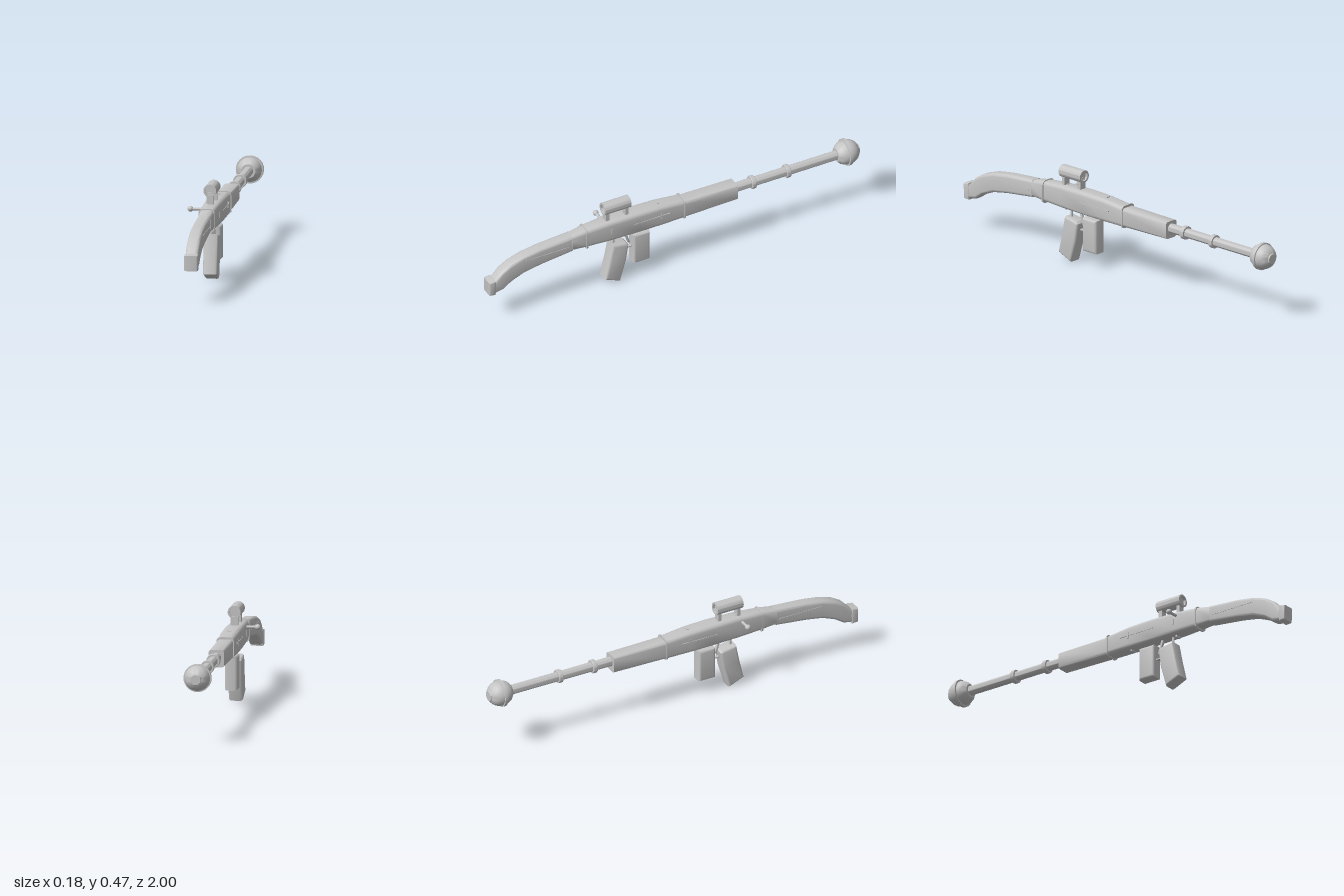
import * as THREE from 'three';
import { toCreasedNormals } from 'three/addons/utils/BufferGeometryUtils.js';

const CX = 0.02; // x of the long axis
const AXIS_Y = 0.313; // height of the barrel axis
const metal = new THREE.MeshStandardMaterial({ color: 0xc4c4c4 });
metal.name = 'light grey';

export function createModel() {
  const model = new THREE.Group();
  model.name = 'toyRifle';

  const add = (name, geometry, x = CX, y = 0, z = 0) => {
    const mesh = new THREE.Mesh(geometry, metal);
    mesh.name = name;
    mesh.position.set(x, y, z);
    model.add(mesh);
    return mesh;
  };

  // Rounded-rectangle cross-sections [z, top, bottom, halfWidth], front to back
  const loft = (sections, round = 0.016) => {
    const pos = [], idx = [], steps = 4, n = 4 * (steps + 1);
    for (const [z, top, bottom, w] of sections) {
      const cy = (top + bottom) / 2, h = (top - bottom) / 2;
      for (let k = 0; k < 4; k++) {
        const sx = k === 0 || k === 3 ? 1 : -1, sy = k < 2 ? 1 : -1;
        for (let s = 0; s <= steps; s++) {
          const a = (k + s / steps) * Math.PI / 2;
          pos.push(sx * (w - round) + round * Math.cos(a), cy + sy * (h - round) + round * Math.sin(a), z);
        }
      }
    }
    const last = (sections.length - 1) * n;
    for (let i = 0; i < last; i += n) {
      for (let j = 0; j < n; j++) {
        const k = (j + 1) % n;
        idx.push(i + j, i + n + j, i + k, i + k, i + n + j, i + n + k);
      }
    }
    for (let j = 1; j < n - 1; j++) idx.push(0, j, j + 1, last, last + j + 1, last + j);
    const g = new THREE.BufferGeometry();
    g.setAttribute('position', new THREE.Float32BufferAttribute(pos, 3));
    g.setIndex(idx);
    return toCreasedNormals(g, 0.6);
  };

  // Side outline of [z, y] points given width along x and softened edges
  const slab = (points, width, bevel) => {
    const shape = new THREE.Shape(points.map(([z, y]) => new THREE.Vector2(z, y)));
    const g = new THREE.ExtrudeGeometry(shape, {
      depth: width - 2 * bevel, bevelEnabled: true, bevelThickness: bevel,
      bevelSize: bevel, bevelOffset: -bevel, bevelSegments: 3,
    });
    g.translate(0, 0, bevel - width / 2).rotateY(-Math.PI / 2);
    return toCreasedNormals(g, 0.6);
  };

  // Turned part along z: [radius, z] points listed by rising z
  const turned = (points) => {
    const g = new THREE.LatheGeometry(points.map(([r, z]) => new THREE.Vector2(r, z)), 32);
    return toCreasedNormals(g.rotateX(Math.PI / 2), 0.6);
  };

  // Shoulder stock and butt pad
  add('stock', loft([
    [0.967, 0.232, 0.16, 0.03], [0.925, 0.275, 0.168, 0.031], [0.88, 0.302, 0.199, 0.031],
    [0.81, 0.325, 0.228, 0.031], [0.72, 0.339, 0.244, 0.031], [0.55, 0.352, 0.264, 0.031],
  ]));
  add('buttPad', slab([[0.998, 0.158], [1, 0.232], [0.967, 0.238], [0.962, 0.2], [0.966, 0.155]], 0.066, 0.007));

  // Receiver and fore-end
  add('receiver', loft([
    [0.555, 0.35, 0.268, 0.032], [0.48, 0.363, 0.263, 0.035], [0.36, 0.372, 0.26, 0.041],
    [0.2, 0.373, 0.258, 0.044], [0.08, 0.37, 0.257, 0.043], [-0.05, 0.358, 0.256, 0.039],
  ], 0.02));
  add('foreEnd', loft([[-0.045, 0.353, 0.259, 0.038], [-0.335, 0.349, 0.264, 0.038]], 0.015));

  // Bands clamped around the body
  for (const [z, top, bottom, w] of [[0.475, 0.368, 0.254, 0.039], [-0.048, 0.364, 0.251, 0.042]]) {
    add('band', loft([[z + 0.004, top, bottom, w], [z - 0.004, top, bottom, w]], 0.02));
  }
  for (const z of [0.345, 0.08]) {
    add('topPin', new THREE.BoxGeometry(0.022, 0.006, 0.008), CX, 0.371, z);
    add('bottomPin', new THREE.BoxGeometry(0.03, 0.012, 0.008), CX, 0.256, z);
  }

  // Raised lines on both sides
  for (const side of [-1, 1]) {
    add('receiverLine', new THREE.BoxGeometry(0.006, 0.006, 0.19), CX + side * 0.043, 0.32, 0.13);
    add('receiverTick', new THREE.BoxGeometry(0.006, 0.03, 0.006), CX + side * 0.043, 0.32, 0.08);
    add('rearTick', new THREE.BoxGeometry(0.005, 0.03, 0.006), CX + side * 0.041, 0.319, 0.345);
    add('stockLine', new THREE.BoxGeometry(0.004, 0.005, 0.24), CX + side * 0.031, 0.299, 0.69);
  }

  // Barrel with two collars
  add('barrel', turned([[0, -0.9], [0.023, -0.9], [0.023, -0.33], [0, -0.33]]), CX, AXIS_Y);
  for (const z of [-0.43, -0.617]) {
    add('barrelCollar', turned([
      [0.022, -0.011], [0.031, -0.011], [0.033, -0.008], [0.033, 0.008], [0.031, 0.011], [0.022, 0.011],
    ]), CX, AXIS_Y, z);
  }

  // Round muzzle with a flange and an end cap
  add('muzzleBall', turned([
    [0, -1], [0.024, -1], [0.026, -0.994], [0.037, -0.989], [0.046, -0.981], [0.054, -0.969],
    [0.059, -0.956], [0.061, -0.943], [0.067, -0.942], [0.067, -0.927], [0.059, -0.926],
    [0.056, -0.91], [0.048, -0.895], [0.034, -0.882], [0, -0.882],
  ]), CX, AXIS_Y);

  // Scope: recessed ends, lens bars and two mounts
  add('scope', turned([
    [0, -0.058], [0.022, -0.058], [0.022, -0.07], [0.031, -0.07],
    [0.031, 0.07], [0.022, 0.07], [0.022, 0.058], [0, 0.058],
  ]), CX, 0.437, 0.305);
  for (const end of [-1, 1]) {
    add('lensBar', new THREE.BoxGeometry(0.038, 0.003, 0.006), CX, 0.428, 0.305 + end * 0.058);
    add('scopeMount', new THREE.BoxGeometry(0.035, 0.06, 0.018), CX, 0.39, 0.305 + end * 0.052);
  }

  // Bolt handle on the right side
  const rod = add('boltRod', new THREE.CylinderGeometry(0.007, 0.007, 0.075, 16), -0.04, 0.347, 0.362);
  rod.rotation.z = Math.PI / 2;
  add('boltKnob', new THREE.SphereGeometry(0.014, 24, 16), -0.075, 0.347, 0.362);

  // Pistol grip, curved along its rear and front edges
  add('grip', slab([
    [0.377, 0.034], [0.354, 0.13], [0.335, 0.222], [0.26, 0.21], [0.25, 0.2],
    [0.264, 0.11], [0.296, 0],
  ], 0.07, 0.012));
  add('gripPost', new THREE.CylinderGeometry(0.006, 0.006, 0.06, 12), CX, 0.235, 0.318);

  // Trigger and the link to the magazine
  add('trigger', slab([[0.264, 0.262], [0.25, 0.262], [0.24, 0.225], [0.23, 0.195], [0.24, 0.19], [0.252, 0.225]], 0.014, 0.002));
  add('triggerGuard', new THREE.BoxGeometry(0.016, 0.006, 0.05), CX, 0.168, 0.237);

  // Magazine
  add('magazine', slab([[0.222, 0.075], [0.222, 0.241], [0.133, 0.241], [0.133, 0.075]], 0.062, 0.012));
  return model;
}
